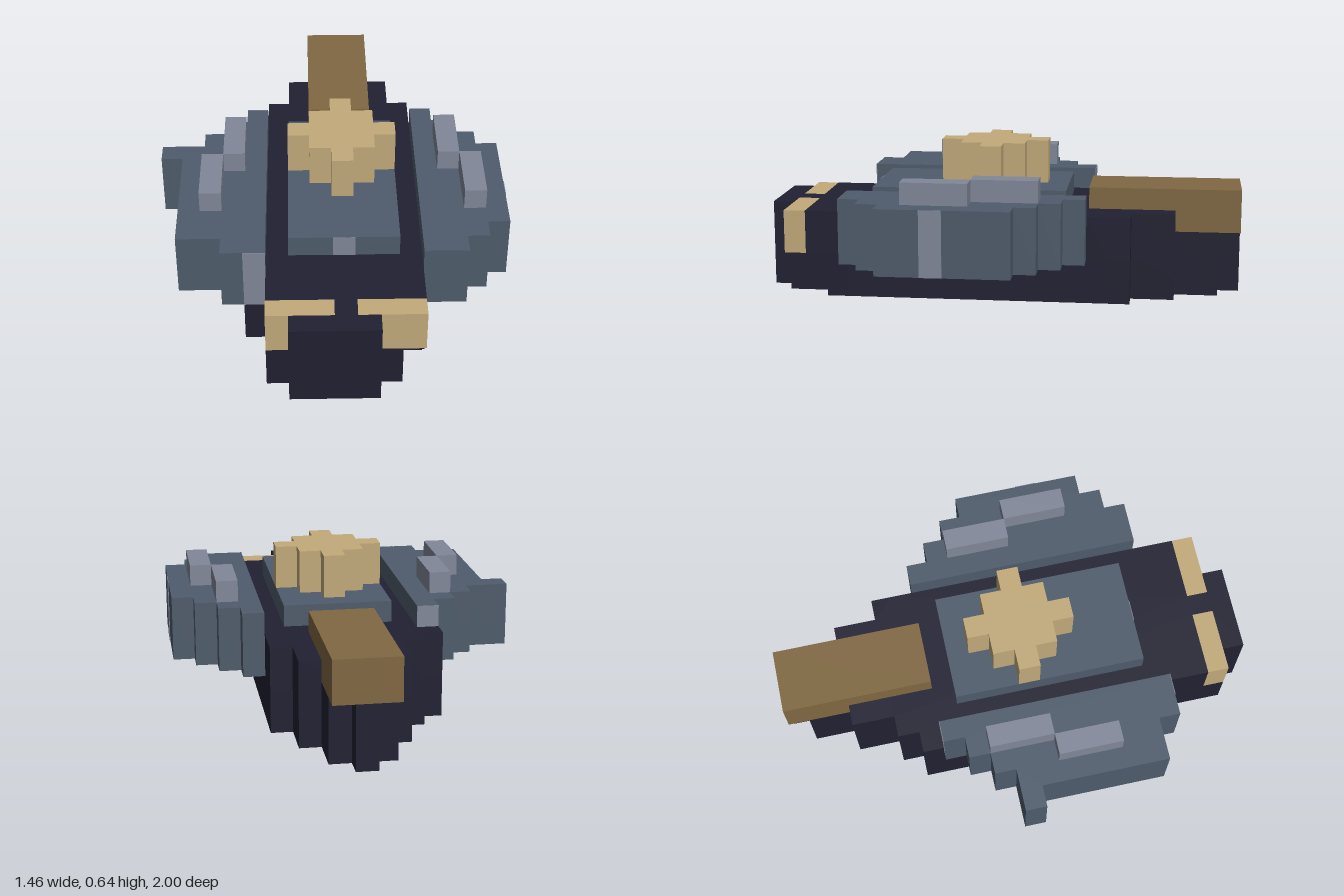
import * as THREE from 'three';

const U = 1 / 11; // one block

const material = (name, color) => {
  const m = new THREE.MeshStandardMaterial({ color });
  m.name = name;
  return m;
};

// Stepped slab: each row is [zStart, zEnd, xLeft, xRight] in blocks, rows run back to front
function slab(rows, y0, y1) {
  const left = [], right = [];
  for (const [z0, z1, x0, x1] of rows) {
    left.push([x0, z0], [x0, z1]);
    right.push([x1, z0], [x1, z1]);
  }
  const outline = [...left, ...right.reverse()]
    .filter((p, i, a) => i === 0 || p[0] !== a[i - 1][0] || p[1] !== a[i - 1][1])
    .map(([x, z]) => new THREE.Vector2(x * U, -z * U));
  const geo = new THREE.ExtrudeGeometry(new THREE.Shape(outline), { depth: (y1 - y0) * U, bevelEnabled: false });
  return geo.rotateX(-Math.PI / 2).translate(0, y0 * U, 0);
}

// Box from its limits in blocks
function box(x0, x1, y0, y1, z0, z1) {
  const geo = new THREE.BoxGeometry((x1 - x0) * U, (y1 - y0) * U, (z1 - z0) * U);
  return geo.translate((x0 + x1) * U / 2, (y0 + y1) * U / 2, (z0 + z1) * U / 2);
}

export function createModel() {
  const model = new THREE.Group();
  model.name = 'blockVehicle';

  const navy = material('dark navy', 0x202032);
  const slate = material('slate blue', 0x4f5c6c);
  const grey = material('light grey', 0x828899);
  const tan = material('tan', 0xc2aa7a);
  const brown = material('brown', 0x806842);

  const add = (name, geo, mat) => {
    const mesh = new THREE.Mesh(geo, mat);
    mesh.name = name;
    model.add(mesh);
  };

  // Hull in three layers, plus the low stern
  const stern = [[-8, -6, -2, 3], [-6, -5, -3, 4]];
  add('hullBottom', slab([...stern, [-5, 7, -4, 4], [7, 8, -3, 4], [8, 10, -3, 3], [10, 11, -2, 2]], 0, 1), navy);
  add('hullMiddle', slab([...stern, [-5, 7, -4, 4], [7, 9, -3, 4], [9, 10, -3, 3], [10, 11, -2, 2]], 1, 2), navy);
  add('hullTop', slab([...stern, [-5, -4, -4, 4], [-4, 9, -3, 4], [9, 10, 0, 1], [10, 11, -2, 2]], 2, 4), navy);
  add('sternBase', slab([[-11, -10, 0, 1], [-10, -8, -1, 2]], 0, 3), navy);

  // Side pods
  add('rightPod', slab([[-4, -3, -4, -3], [-3, -2, -5, -3], [-2, -1, -6, -3], [-1, 0, -8, -3],
    [0, 6, -7, -3], [6, 7, -5, -3]], 2, 5), slate);
  add('leftPod', slab([[-4, -3, 4, 5], [-3, -2, 4, 6], [-2, -1, 4, 7], [-1, 5, 4, 8],
    [5, 6, 4, 7], [6, 7, 4, 6]], 2, 5), slate);

  // Raised rails on the pods
  for (const [x, z] of [[-5, -2], [-6, 1], [5, -2], [6, 1]]) {
    add('podRail', box(x, x + 1, 5, 6, z, z + 3), grey);
  }

  // Thin painted stripes
  const t = 0.03;
  add('rightPodFrontStripe', box(-4, -3, 2, 5, 7, 7 + t), grey);
  add('rightPodBackStripe', box(-4, -3, 2, 5, -4 - t, -4), grey);
  add('leftPodSideStripe', box(8, 8 + t, 2, 5, 2, 3), grey);
  add('deckFrontStripe', box(0, 1, 4, 5, 6, 6 + t), grey);

  // Deck plate and the star-shaped hatch
  add('deckPlate', box(-2, 3, 4, 5, -3, 6), slate);
  add('hatch', slab([[-2, -1, 0, 1], [-1, 0, -1, 2], [0, 1, -2, 3], [1, 2, -1, 2], [2, 3, 0, 1]], 5, 7), tan);

  // Front lamps and rear boom
  add('frontLampRight', box(-3, 0, 2, 4, 9, 10), tan);
  add('frontLampLeft', box(1, 4, 2, 4, 9, 10), tan);
  add('rearBoom', box(-1, 2, 3, 5, -11, -4), brown);

  return model;
}
